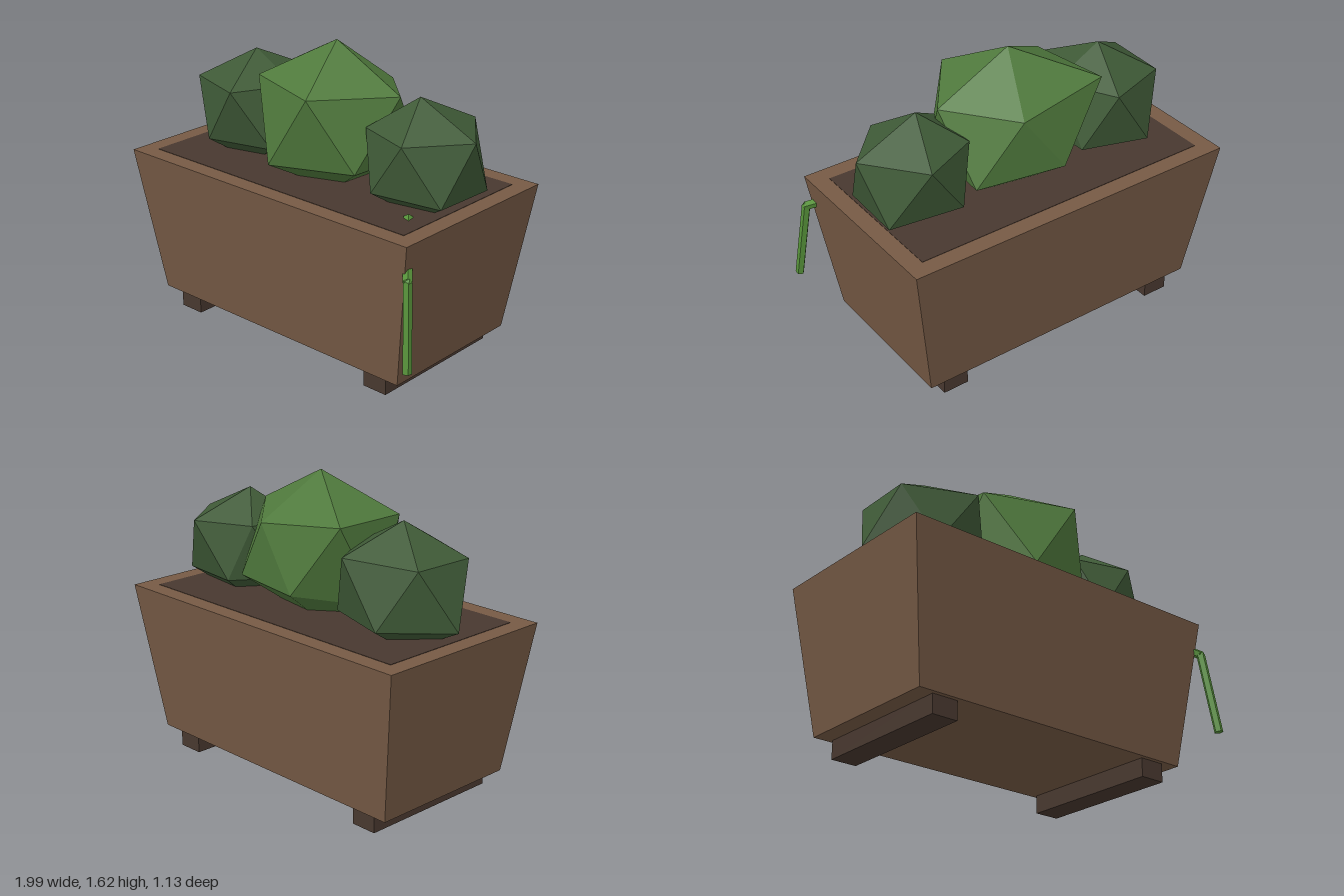
import * as THREE from 'three';
import { ConvexGeometry } from 'three/addons/geometries/ConvexGeometry.js';

const material = (name, color) => {
  const m = new THREE.MeshStandardMaterial({ color, flatShading: true });
  m.name = name;
  return m;
};

export function createModel() {
  const group = new THREE.Group();
  const wood = material('wood', 0x765a45);
  const darkWood = material('darkWood', 0x48382f);
  const leaf = material('leafGreen', 0x507a3d);
  const darkLeaf = material('darkLeafGreen', 0x3f5a37);
  const vineGreen = material('vineGreen', 0x559038);

  const add = (name, geometry, mat, x = 0, y = 0, z = 0) => {
    const mesh = new THREE.Mesh(geometry, mat);
    mesh.name = name;
    mesh.position.set(x, y, z);
    group.add(mesh);
    return mesh;
  };
  const cx = -0.04, cz = -0.035;

  // Planter box, narrower at the bottom
  const box = new THREE.BoxGeometry(1.92, 0.815, 1.06);
  const p = box.attributes.position;
  for (let i = 0; i < p.count; i++) {
    if (p.getY(i) < 0) p.setXYZ(i, p.getX(i) * 0.875, p.getY(i), p.getZ(i) * 0.816);
  }
  box.computeVertexNormals();
  add('planterBox', box, wood, cx, 0.5075, cz);

  // Soil inside the rim
  add('soil', new THREE.BoxGeometry(1.73, 0.004, 0.87), darkWood, cx, 0.915, cz);

  // Runner feet
  for (const s of [-1, 1]) {
    add(s < 0 ? 'rightFoot' : 'leftFoot', new THREE.BoxGeometry(0.145, 0.11, 0.815), darkWood,
      cx + s * 0.673, 0.055, cz);
  }

  // Bushes: irregular twelve-cornered solids (top, upper ring, lower ring, bottom)
  const bush = (name, mat, points) =>
    add(name, new ConvexGeometry(points.map((q) => new THREE.Vector3(...q))), mat);

  bush('middleBush', leaf, [
    [0.01, 1.62, -0.035],
    [0.435, 1.405, -0.035], [0.15, 1.415, 0.35], [-0.34, 1.41, 0.18], [-0.39, 1.43, -0.29], [0.13, 1.37, -0.34],
    [0.34, 1.03, 0.2], [-0.12, 1.01, 0.345], [-0.41, 0.98, -0.035], [-0.11, 1.04, -0.365], [0.37, 1.03, -0.27],
    [0, 0.8, -0.035],
  ]);
  bush('rightBush', darkLeaf, [
    [-0.57, 1.46, -0.035],
    [-0.29, 1.31, -0.035], [-0.455, 1.305, 0.28], [-0.84, 1.29, 0.14], [-0.83, 1.29, -0.21], [-0.46, 1.31, -0.35],
    [-0.3, 0.99, 0.14], [-0.67, 0.99, 0.24], [-0.94, 0.97, -0.035], [-0.68, 0.98, -0.34], [-0.32, 0.99, -0.24],
    [-0.6, 0.8, -0.035],
  ]);
  bush('leftBush', darkLeaf, [
    [0.56, 1.435, -0.035],
    [0.905, 1.275, -0.035], [0.66, 1.265, 0.23], [0.35, 1.27, 0.13], [0.36, 1.28, -0.2], [0.67, 1.28, -0.34],
    [0.84, 0.965, 0.14], [0.47, 0.98, 0.23], [0.28, 0.98, -0.035], [0.46, 0.98, -0.29], [0.85, 0.965, -0.22],
    [0.58, 0.8, -0.035],
  ]);

  // Vine that dips through the corner and hangs outside
  const path = [[0.7, 0.915, 0.215], [0.925, 0.738, 0.49], [0.975, 0.292, 0.54]]
    .map((q) => new THREE.Vector3(...q));
  const up = new THREE.Vector3(0, 1, 0);
  for (let i = 0; i < 2; i++) {
    const dir = path[i + 1].clone().sub(path[i]);
    const mid = path[i].clone().addScaledVector(dir, 0.5);
    const seg = add(i ? 'hangingVine' : 'vineStem',
      new THREE.CylinderGeometry(0.024, 0.024, dir.length(), 5), vineGreen, mid.x, mid.y, mid.z);
    seg.quaternion.setFromUnitVectors(up, dir.normalize());
  }
  add('vineBend', new THREE.IcosahedronGeometry(0.024, 0), vineGreen, ...path[1].toArray());

  return group;
}
